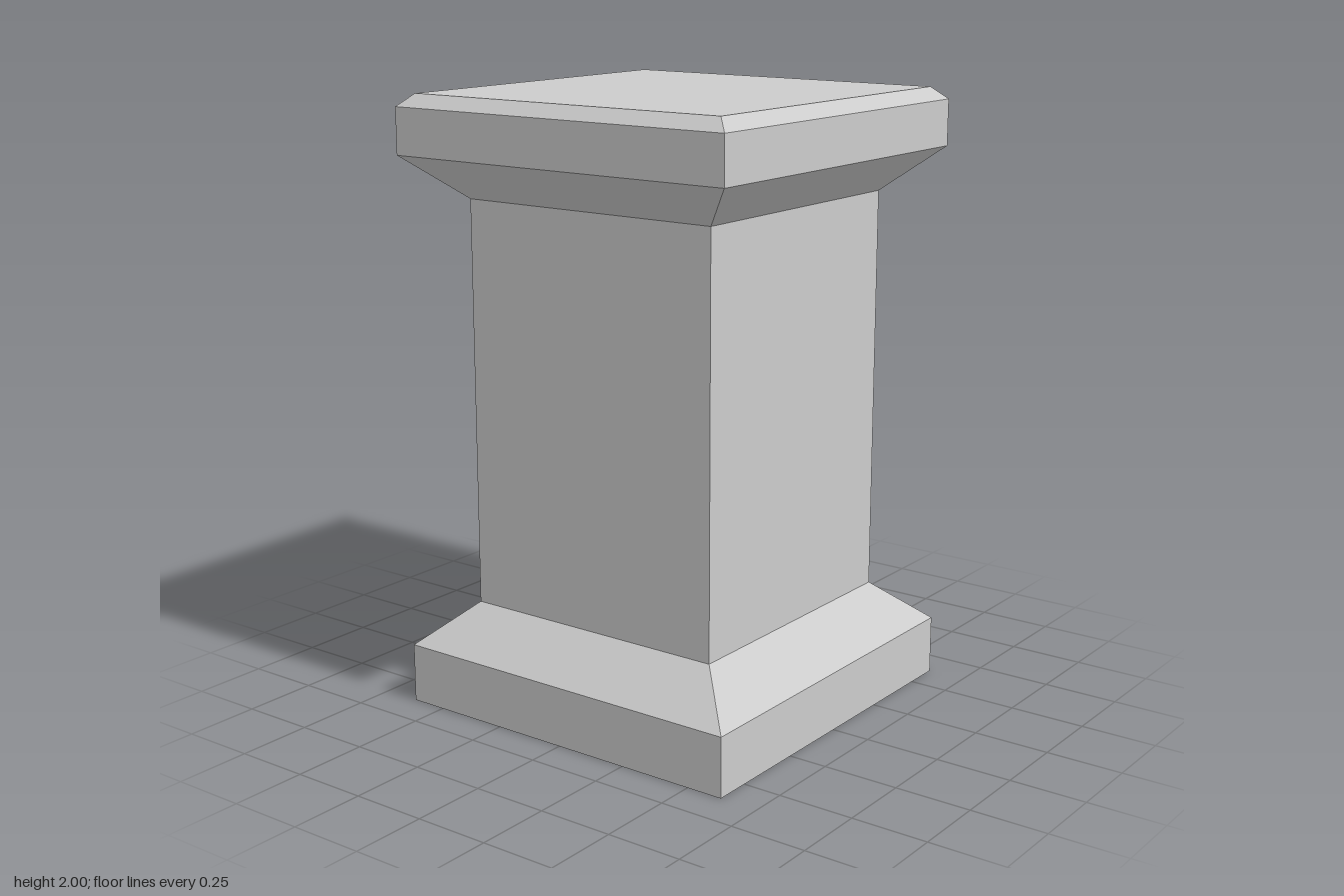
import * as THREE from 'three';

const material = new THREE.MeshStandardMaterial({ color: 0xcccccc, flatShading: true });

// Four-sided solid from a profile of [half width, height], listed bottom to top
function squareTurned(name, profile) {
  const points = profile.map(([half, y]) => new THREE.Vector2(half * Math.SQRT2, y));
  const geometry = new THREE.LatheGeometry(points, 4, Math.PI / 4).toNonIndexed();
  geometry.computeVertexNormals();
  const mesh = new THREE.Mesh(geometry, material);
  mesh.name = name;
  return mesh;
}

export function createModel() {
  const wide = 0.622, narrow = 0.464, top = 0.578;
  const group = new THREE.Group();
  group.name = 'pedestal';

  // Plinth with a sloped shoulder
  group.add(squareTurned('base', [[0, 0], [wide, 0], [wide, 0.195], [narrow, 0.335]]));

  // Straight square column
  group.add(squareTurned('shaft', [[narrow, 0.335], [narrow, 1.67]]));

  // Flared cap with a bevelled top edge
  group.add(squareTurned('capital', [[narrow, 1.67], [wide, 1.81], [wide, 1.96], [top, 2], [0, 2]]));

  return group;
}
